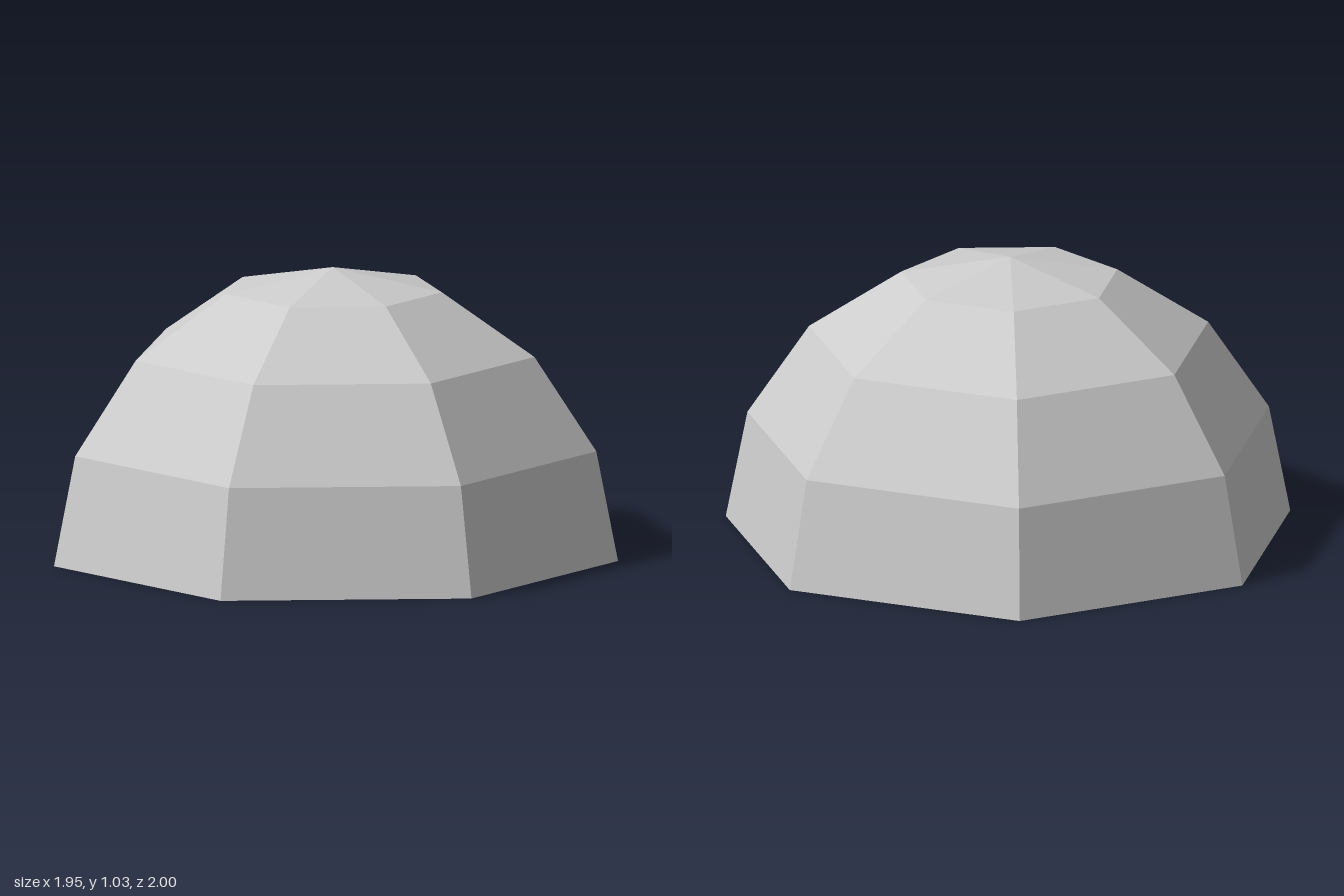
import * as THREE from 'three';

export function createModel() {
  const group = new THREE.Group();
  group.name = 'openDome';

  const paleGrey = new THREE.MeshStandardMaterial({
    color: 0xcccccc,
    flatShading: true,
    side: THREE.DoubleSide,
  });
  paleGrey.name = 'paleGrey';

  // Seven-sided half sphere, open underneath, with one corner pointing to -x
  const sides = 7;
  const radius = 1 / Math.sin((4 * Math.PI) / sides); // total depth of 2
  const geometry = new THREE.SphereGeometry(radius, sides, 4, 0, Math.PI * 2, 0, Math.PI / 2);

  const shell = new THREE.Mesh(geometry, paleGrey);
  shell.name = 'domeShell';
  // Centre the uneven heptagon on x
  shell.position.x = (radius * (1 - Math.cos(Math.PI / sides))) / 2;
  group.add(shell);

  return group;
}
